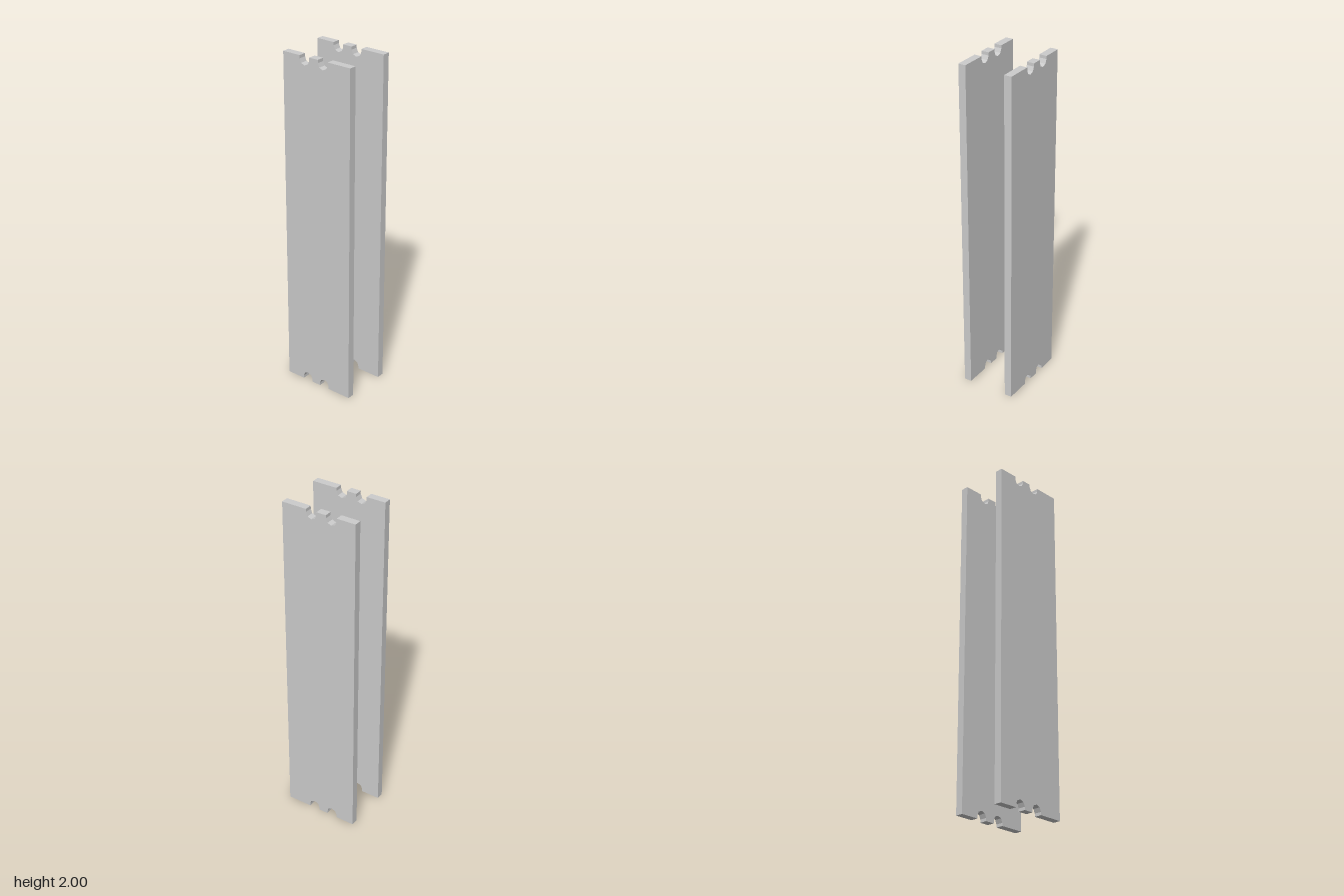
import * as THREE from 'three';

const HALF_W = 0.225, H = 2, THICK = 0.044;
const NOTCHES = [-0.079, 0.044]; // notch centres along x
const R = 0.0325, DEPTH = 0.05, STEPS = 4;

// Notch outline from left to right: straight sides, then a faceted half round.
// edgeY is the plate's edge, dir points into the plate.
function notch(cx, edgeY, dir) {
  const pts = [new THREE.Vector2(cx - R, edgeY)];
  for (let i = 0; i <= STEPS; i++) {
    const a = Math.PI * (1 - i / STEPS);
    pts.push(new THREE.Vector2(cx + R * Math.cos(a), edgeY + dir * (DEPTH - R + R * Math.sin(a))));
  }
  pts.push(new THREE.Vector2(cx + R, edgeY));
  return pts;
}

export function createModel() {
  const group = new THREE.Group();
  group.name = 'notchedPlates';

  // Plate outline, counter-clockwise
  const bottom = NOTCHES.flatMap((x) => notch(x, 0, 1));
  const top = NOTCHES.flatMap((x) => notch(x, H, -1)).reverse();
  const shape = new THREE.Shape([
    new THREE.Vector2(-HALF_W, 0), ...bottom, new THREE.Vector2(HALF_W, 0),
    new THREE.Vector2(HALF_W, H), ...top, new THREE.Vector2(-HALF_W, H),
  ]);
  const geometry = new THREE.ExtrudeGeometry(shape, { depth: THICK, bevelEnabled: false });
  geometry.translate(0, 0, -THICK / 2);
  const material = new THREE.MeshStandardMaterial({ color: 0xcccccc, flatShading: true });

  // Two identical parallel plates
  for (const [name, z] of [['frontPlate', 0.141], ['backPlate', -0.141]]) {
    const plate = new THREE.Mesh(geometry, material);
    plate.name = name;
    plate.position.z = z;
    group.add(plate);
  }
  return group;
}
